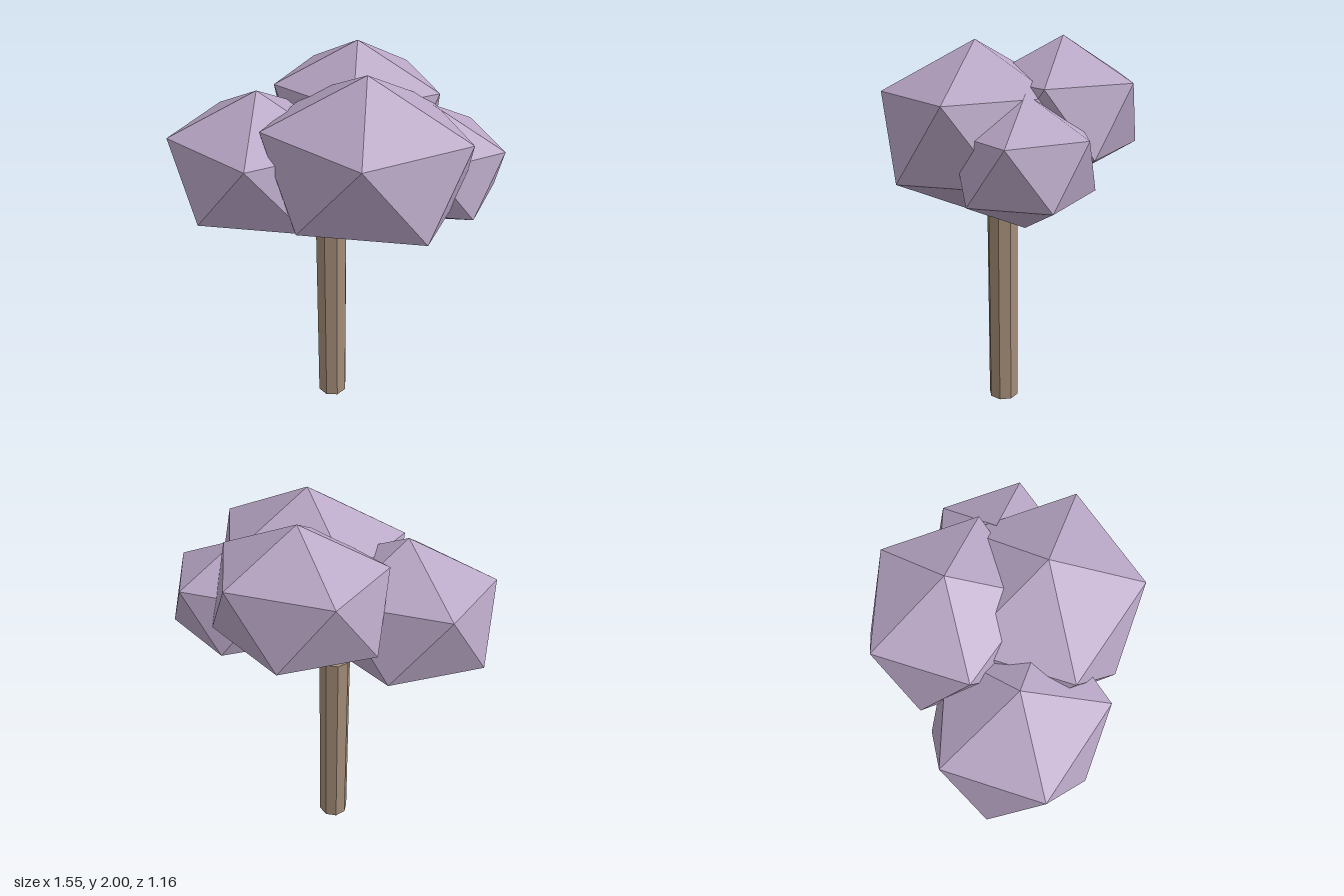
import * as THREE from 'three';

export function createModel() {
  const tree = new THREE.Group();
  tree.name = 'tree';

  const bark = new THREE.MeshStandardMaterial({ color: 0xa58d78, flatShading: true });
  const leaves = new THREE.MeshStandardMaterial({ color: 0xb9a7c6, flatShading: true });

  // Octagonal trunk
  const height = 1.125;
  const trunk = new THREE.Mesh(new THREE.CylinderGeometry(0.082, 0.082, height, 8), bark);
  trunk.name = 'trunk';
  trunk.position.set(-0.012, height / 2, 0.082);
  tree.add(trunk);

  // Icosahedron turned so that one corner points straight up
  const golden = (1 + Math.sqrt(5)) / 2;
  const clump = new THREE.IcosahedronGeometry(1, 0).rotateZ(-Math.atan(1 / golden));

  // Foliage clumps: all share one squashed shape at different sizes
  const foliage = new THREE.Group();
  foliage.name = 'foliage';
  const clumps = [
    ['frontClump', 0.42, 0.197, 1.57, 0.152],
    ['rightClump', 0.38, -0.33, 1.47, 0.2],
    ['backClump', 0.36, -0.01, 1.64, -0.225],
    ['leftClump', 0.31, 0.405, 1.47, -0.14],
  ];
  for (const [name, r, x, y, z] of clumps) {
    const mesh = new THREE.Mesh(clump, leaves);
    mesh.name = name;
    mesh.scale.set(1.316 * r, r, 1.16 * r);
    mesh.position.set(x, y, z);
    foliage.add(mesh);
  }
  tree.add(foliage);

  return tree;
}
